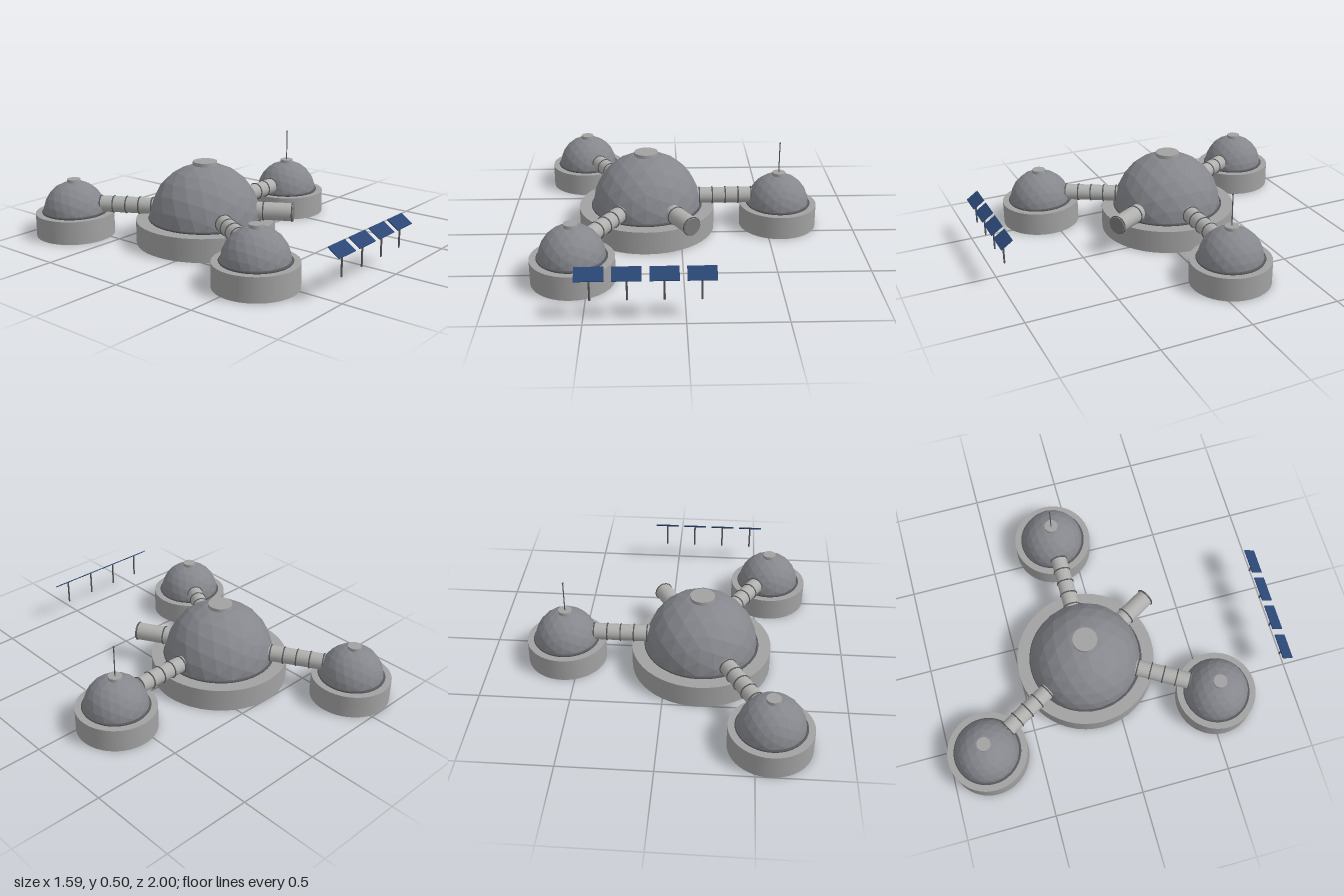
import * as THREE from 'three';

const mat = (name, color, extra = {}) => {
  const m = new THREE.MeshStandardMaterial({ color, ...extra });
  m.name = name;
  return m;
};

export function createModel() {
  const baseGrey = mat('base grey', 0xa2a2a2);
  const domeGrey = mat('dome grey', 0x85878d, { flatShading: true });
  const tubeGrey = mat('tube grey', 0xb0b0ae);
  const darkGrey = mat('dark grey', 0x585a5c);
  const hatchGrey = mat('hatch grey', 0x7a7a7a);
  const panelBlue = mat('panel blue', 0x2b4675);

  const root = new THREE.Group();
  root.name = 'domeBase';
  const add = (parent, name, geo, material, x = 0, y = 0, z = 0) => {
    const m = new THREE.Mesh(geo, material);
    m.name = name;
    m.position.set(x, y, z);
    parent.add(m);
    return m;
  };

  // Faceted hemisphere: lower vertices are flattened onto the floor plane
  const domeGeometry = (r) => {
    const g = new THREE.IcosahedronGeometry(r, 3);
    const p = g.attributes.position;
    for (let i = 0; i < p.count; i++) if (p.getY(i) < 0) p.setY(i, 0);
    g.computeVertexNormals();
    return g;
  };

  // A module: round foundation, dome, collar and top cap
  const BASE_H = 0.132;
  const addModule = (name, x, z, baseR, domeR, capR) => {
    const g = new THREE.Group();
    g.name = name;
    g.position.set(x, 0, z);
    root.add(g);
    add(g, 'foundation', new THREE.CylinderGeometry(baseR, baseR, BASE_H, 48), baseGrey, 0, BASE_H / 2);
    add(g, 'dome', domeGeometry(domeR), domeGrey, 0, BASE_H + 0.001);
    add(g, 'collar', new THREE.TorusGeometry(domeR + 0.002, 0.007, 6, 48), darkGrey, 0, BASE_H + 0.005).rotation.x = Math.PI / 2;
    add(g, 'cap', new THREE.CylinderGeometry(capR, capR, 0.02, 24), baseGrey, 0, BASE_H + domeR + 0.003);
    return g;
  };

  const CX = -0.195, CZ = -0.115, REACH = 0.765, TUBE_Y = 0.184;
  addModule('mainModule', CX, CZ, 0.39, 0.312, 0.068);

  // A ribbed tube leaving the main dome along local +x
  const addTube = (name, angle, from, to, r, ribs) => {
    const g = new THREE.Group();
    g.name = name;
    g.position.set(CX, TUBE_Y, CZ);
    g.rotation.y = -angle;
    root.add(g);
    add(g, 'tube', new THREE.CylinderGeometry(r, r, to - from, 20), tubeGrey, (from + to) / 2).rotation.z = -Math.PI / 2;
    for (const d of ribs) {
      add(g, 'rib', new THREE.TorusGeometry(r + 0.001, 0.004, 6, 20), darkGrey, d).rotation.y = Math.PI / 2;
    }
    return g;
  };

  // Three outer modules, 120 degrees apart
  let antennaModule;
  ['left', 'rightFront', 'rightBack'].forEach((side, i) => {
    const a = (i * 2 * Math.PI) / 3;
    const m = addModule(side + 'Module', CX + REACH * Math.cos(a), CZ + REACH * Math.sin(a), 0.2225, 0.178, 0.038);
    if (i === 0) antennaModule = m;
    addTube(side + 'Corridor', a, 0.27, 0.61, 0.046, [0.305, 0.38, 0.455, 0.53, 0.605]);
  });

  // Airlock with a closed end
  const airlock = addTube('airlock', Math.PI / 3, 0.25, 0.495, 0.05, [0.33, 0.49]);
  add(airlock, 'hatch', new THREE.CylinderGeometry(0.049, 0.049, 0.006, 20), hatchGrey, 0.495).rotation.z = -Math.PI / 2;

  // Antenna
  add(antennaModule, 'antennaMast', new THREE.CylinderGeometry(0.003, 0.003, 0.19, 8), darkGrey, 0, 0.405);
  add(antennaModule, 'antennaTip', new THREE.SphereGeometry(0.005, 10, 8), darkGrey, 0, 0.5);

  // Row of tilted solar panels on posts
  for (let i = 0; i < 4; i++) {
    const x = -0.462 + i * 0.179;
    add(root, 'solarPanel', new THREE.BoxGeometry(0.143, 0.005, 0.078), panelBlue, x, 0.254, 0.965).rotation.x = 0.6;
    add(root, 'panelPost', new THREE.CylinderGeometry(0.005, 0.005, 0.135, 8), darkGrey, x, 0.183, 0.967);
  }
  return root;
}
